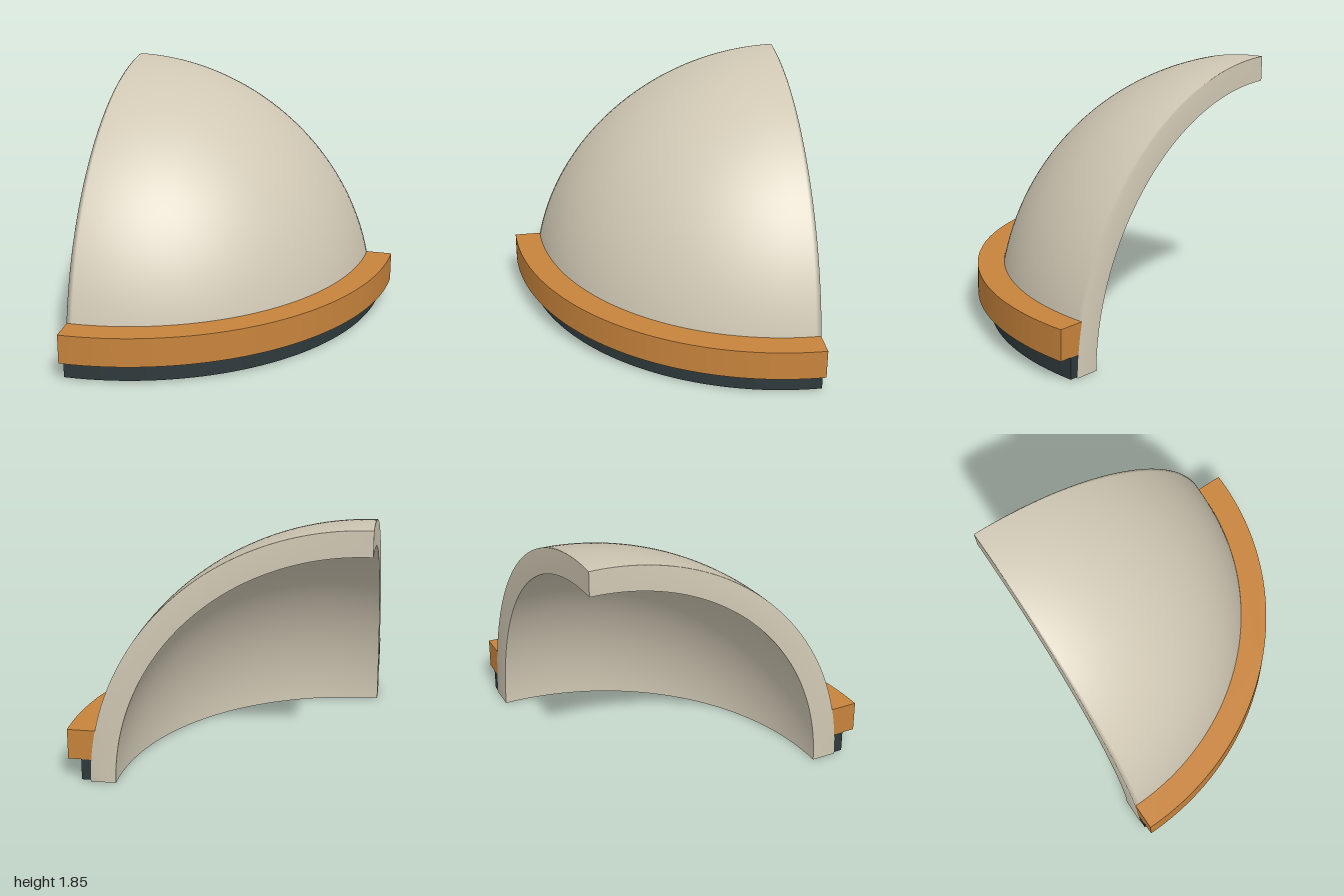
import * as THREE from 'three';

const R_OUT = 1.847, R_IN = 1.675, QUARTER = Math.PI / 2;

// Smooth surface swept from apex to base; each column is [radius, azimuth].
function sweepColumns(columns, rows) {
  const pos = [], index = [], n = columns.length;
  for (let j = 0; j <= rows; j++) {
    const t = (j / rows) * QUARTER;
    for (const [r, a] of columns) {
      pos.push(r * Math.sin(t) * Math.cos(a), r * Math.cos(t), r * Math.sin(t) * Math.sin(a));
    }
  }
  for (let j = 0; j < rows; j++) {
    for (let i = 0; i < n - 1; i++) {
      const a = j * n + i, c = a + n;
      index.push(a, a + 1, c, a + 1, c + 1, c);
    }
  }
  const geo = new THREE.BufferGeometry();
  geo.setAttribute('position', new THREE.Float32BufferAttribute(pos, 3));
  geo.setIndex(index);
  geo.computeVertexNormals();
  return geo;
}

// Quarter ring with a rectangular section, ends set in a hair from the cut planes.
function quarterRing(inner, outer, y0, y1) {
  const inset = 0.0015;
  const shape = new THREE.Shape();
  shape.absarc(0, 0, outer, inset, QUARTER - inset, false);
  shape.absarc(0, 0, inner, QUARTER - inset, inset, true);
  const geo = new THREE.ExtrudeGeometry(shape, { depth: y1 - y0, bevelEnabled: false, curveSegments: 64 });
  return geo.rotateX(QUARTER).translate(0, y1, 0);
}

export function createModel() {
  const model = new THREE.Group();
  const cream = new THREE.MeshStandardMaterial({ color: 0xd0c8b4 });
  const orange = new THREE.MeshStandardMaterial({ color: 0xc8843c });
  const dark = new THREE.MeshStandardMaterial({ color: 0x2e393b });

  const add = (parent, name, geo, mat) => {
    const mesh = new THREE.Mesh(geo, mat);
    mesh.name = name;
    parent.add(mesh);
  };

  // Azimuths, with a narrow strip at each end for the softened rim edge
  const azimuths = [0, 0.02];
  for (let i = 1; i < 48; i++) azimuths.push((i / 48) * QUARTER);
  azimuths.push(QUARTER - 0.02, QUARTER);
  azimuths.sort((a, b) => a - b);

  // Quarter dome: outside with both cut rims, inside, and bottom edge
  const dome = new THREE.Group();
  dome.name = 'domeShell';
  const outside = [[R_IN, 0], ...azimuths.map(a => [R_OUT, a]), [R_IN, QUARTER]];
  const inside = azimuths.map(a => [R_IN, a]).reverse();
  add(dome, 'domeOutsideAndRim', sweepColumns(outside, 64), cream);
  add(dome, 'domeInside', sweepColumns(inside, 64), cream);
  add(dome, 'domeBottomEdge', new THREE.RingGeometry(R_IN, R_OUT, 64, 1, 0, QUARTER).rotateX(QUARTER), cream);
  model.add(dome);

  // Base rings
  add(model, 'baseBand', quarterRing(1.81, 2, 0.16, 0.375), orange);
  add(model, 'lowerRing', quarterRing(1.835, 1.91, 0.01, 0.16), dark);

  // Put the dome axis at the back right corner
  for (const part of model.children) part.position.set(-1, 0, -1);
  return model;
}
